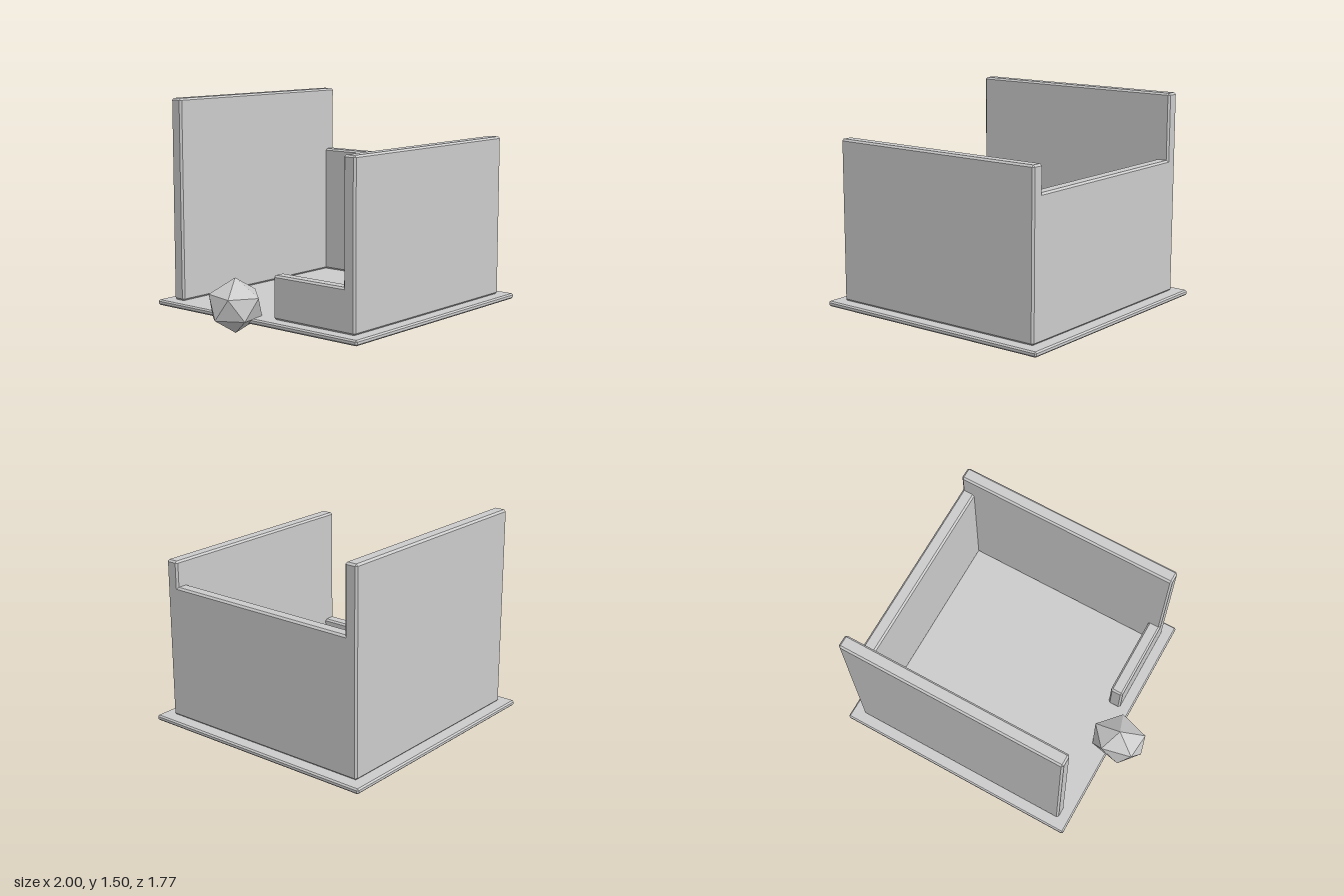
import * as THREE from 'three';
import { ConvexGeometry } from 'three/addons/geometries/ConvexGeometry.js';

const material = new THREE.MeshStandardMaterial({ color: 0xcccccc, flatShading: true });

// Box between two corners, with every edge cut by a flat chamfer
function chamferBox(name, min, max, c = 0.013) {
  const half = [0, 1, 2].map((i) => (max[i] - min[i]) / 2);
  const points = [];
  for (const sx of [-1, 1]) for (const sy of [-1, 1]) for (const sz of [-1, 1]) {
    const s = [sx, sy, sz];
    for (let axis = 0; axis < 3; axis++) {
      points.push(new THREE.Vector3(...s.map((v, i) => v * (half[i] - (i === axis ? 0 : c)))));
    }
  }
  const mesh = new THREE.Mesh(new ConvexGeometry(points), material);
  mesh.position.set(...min.map((v, i) => (v + max[i]) / 2));
  mesh.name = name;
  return mesh;
}

export function createModel() {
  const group = new THREE.Group();
  group.name = 'openRoom';

  // Floor slab and the four walls of different heights
  const base = 0.105;
  group.add(
    chamferBox('floor', [-0.78, 0.068, -0.89], [0.995, 0.105, 0.885], 0.01),
    chamferBox('backWall', [-0.7, base, -0.81], [0.912, 1.505, -0.717]),
    chamferBox('frontWall', [-0.7, base, 0.712], [0.912, 1.225, 0.805]),
    chamferBox('leftWall', [0.82, base, -0.805], [0.912, 1.045, 0.8]),
    chamferBox('lowRightWall', [-0.7, base, 0.125], [-0.608, 0.4, 0.8]),
  );

  // Faceted rock: two poles and two slightly uneven rings of five
  const rockPoints = [
    [-0.81, 0.37, -0.11], [-0.81, 0, -0.11],
    [-0.957, 0.27, -0.207], [-0.743, 0.27, -0.255], [-0.62, 0.265, -0.11],
    [-0.76, 0.245, 0.053], [-0.973, 0.258, -0.016],
    [-1, 0.113, -0.11], [-0.88, 0.1, -0.25], [-0.655, 0.105, -0.205],
    [-0.66, 0.1, -0.012], [-0.873, 0.104, 0.035],
  ].map((p) => new THREE.Vector3(...p));
  const rock = new THREE.Mesh(new ConvexGeometry(rockPoints), material);
  rock.name = 'rock';
  group.add(rock);

  return group;
}
